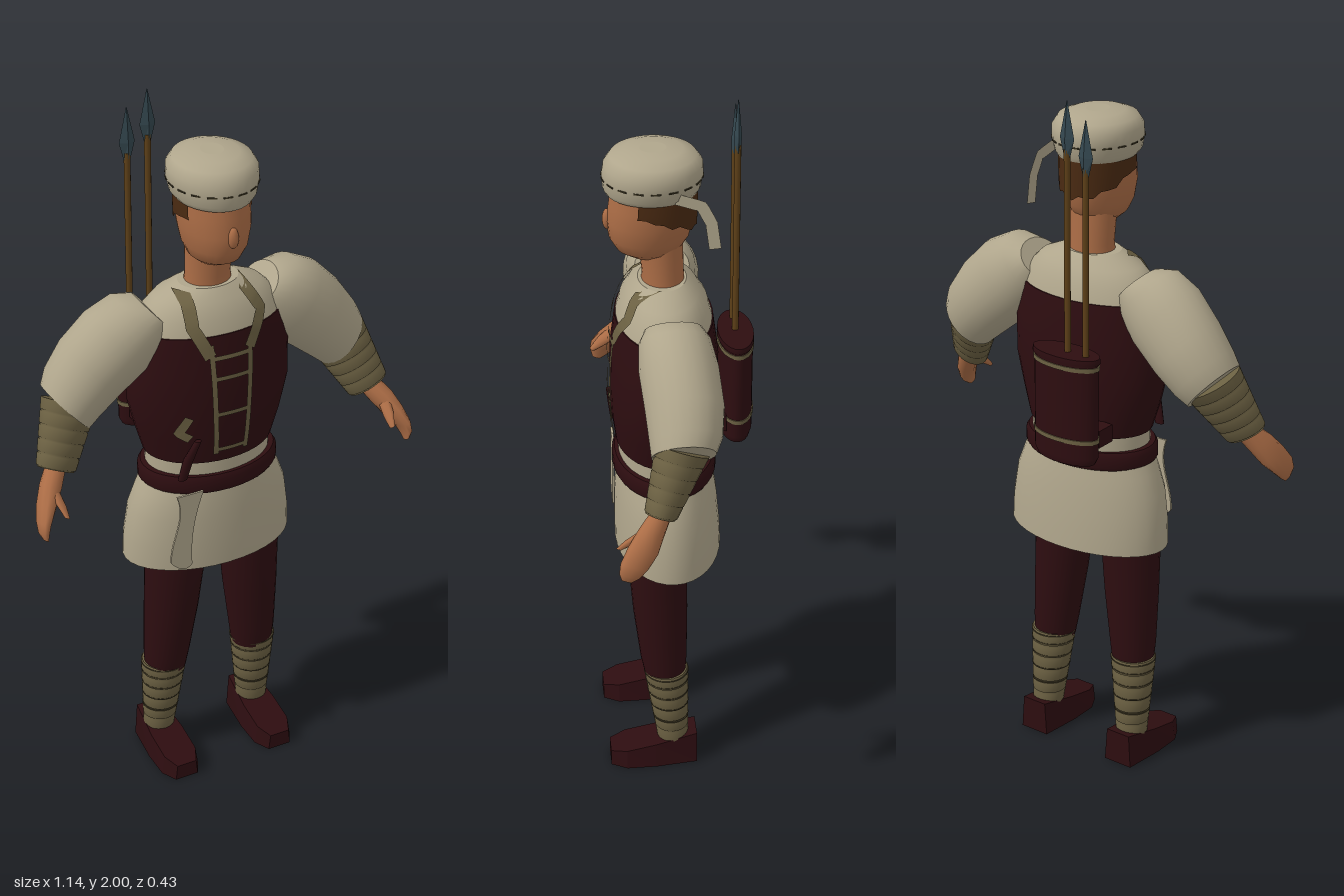
import * as THREE from 'three';

const mat = (name, color, side = THREE.FrontSide) => {
  const m = new THREE.MeshStandardMaterial({ color, side });
  m.name = name;
  return m;
};
const X = new THREE.Vector3(1, 0, 0), Z = new THREE.Vector3(0, 0, 1);

// Torso cross-sections: [x, y, z, radiusX, radiusZ]
const TORSO = [
  [0, 1.03, 0.035, 0.187, 0.135], [0, 1.11, 0.038, 0.212, 0.142], [0, 1.2, 0.038, 0.235, 0.146],
  [0, 1.31, 0.036, 0.235, 0.146], [0, 1.42, 0.036, 0.215, 0.132],
];
const SHOULDERS = [
  [0, 1.415, 0.036, 0.213, 0.13], [0, 1.46, 0.036, 0.195, 0.118],
  [0, 1.5, 0.037, 0.155, 0.095], [0, 1.53, 0.04, 0.085, 0.065],
];

// Front surface depth of the torso at a point
function torsoZ(x, y) {
  const rings = [...TORSO, ...SHOULDERS.slice(1)];
  let i = 0;
  while (i < rings.length - 2 && y > rings[i + 1][1]) i++;
  const a = rings[i], b = rings[i + 1];
  const t = THREE.MathUtils.clamp((y - a[1]) / (b[1] - a[1]), 0, 1);
  const [rx, cz, rz] = [3, 2, 4].map(k => a[k] + (b[k] - a[k]) * t);
  return cz + rz * Math.sqrt(Math.max(0, 1 - (x / rx) ** 2));
}

// Skin elliptical rings [x, y, z, ru, rv] spanned by axes u and v
function loft(rings, { seg = 24, u = X, v = Z, cap = true } = {}) {
  const list = rings.slice();
  if (cap) {
    const f = rings[0], l = rings[rings.length - 1];
    list.unshift([f[0], f[1], f[2], 0, 0], f);
    list.push(l, [l[0], l[1], l[2], 0, 0]);
  }
  const pos = [], idx = [], f = list[0], l = list[list.length - 1];
  const dir = new THREE.Vector3(l[0] - f[0], l[1] - f[1], l[2] - f[2]);
  const flip = new THREE.Vector3().crossVectors(u, v).dot(dir) > 0;
  list.forEach(([x, y, z, ru, rv], r) => {
    for (let i = 0; i < seg; i++) {
      const a = (i / seg) * Math.PI * 2, c = Math.cos(a) * ru, s = Math.sin(a) * rv;
      pos.push(x + u.x * c + v.x * s, y + u.y * c + v.y * s, z + u.z * c + v.z * s);
      if (r === list.length - 1) continue;
      const A = r * seg + i, B = r * seg + (i + 1) % seg, C = A + seg, D = B + seg;
      if (flip) idx.push(A, B, C, B, D, C);
      else idx.push(A, C, B, B, C, D);
    }
  });
  const g = new THREE.BufferGeometry();
  g.setAttribute('position', new THREE.Float32BufferAttribute(pos, 3));
  g.setIndex(idx);
  g.computeVertexNormals();
  return g;
}

// Flat strap that follows a path; depth(x, y) gives its z
function ribbon(path, width, depth) {
  const pts = [];
  for (let i = 0; i < path.length - 1; i++)
    for (let k = 0; k < 6; k++) pts.push(new THREE.Vector2(...path[i]).lerp(new THREE.Vector2(...path[i + 1]), k / 6));
  pts.push(new THREE.Vector2(...path[path.length - 1]));
  const pos = [], idx = [];
  pts.forEach((p, i) => {
    const d = pts[Math.min(i + 1, pts.length - 1)].clone().sub(pts[Math.max(i - 1, 0)]).normalize();
    for (const s of [-1, 1]) {
      const x = p.x - d.y * s * width / 2, y = p.y + d.x * s * width / 2;
      pos.push(x, y, depth(x, y));
    }
    if (i) idx.push(2 * i - 2, 2 * i, 2 * i - 1, 2 * i - 1, 2 * i, 2 * i + 1);
  });
  const g = new THREE.BufferGeometry();
  g.setAttribute('position', new THREE.Float32BufferAttribute(pos, 3));
  g.setIndex(idx);
  g.computeVertexNormals();
  return g;
}

// Overlapping turns of cloth between two rings
function wrapRings(a, b, turns) {
  const out = [], at = (t, e) => a.map((n, k) => n + (b[k] - n) * t + (k > 2 ? e : 0));
  for (let i = 0; i < turns; i++) out.push(at(i / turns, 0.003), at((i + 0.85) / turns, 0.003), at((i + 0.93) / turns, -0.003));
  out.push(at(1, 0));
  return out;
}

export function createModel() {
  const cloth = mat('cream cloth', 0xb0a68c, THREE.DoubleSide);
  const maroon = mat('dark maroon leather', 0x2d0d10);
  const skin = mat('skin', 0xac6d46);
  const olive = mat('olive wrap', 0x6b6042, THREE.DoubleSide);
  const seam = mat('dark seam', 0x3a3320);
  const wood = mat('shaft wood', 0x5e4018);
  const steel = mat('blue steel', 0x34474f);
  const hairMat = mat('brown hair', 0x4a2a12, THREE.DoubleSide);
  steel.flatShading = true;

  const model = new THREE.Group();
  const add = (name, geo, material) => {
    const m = new THREE.Mesh(geo, material);
    m.name = name;
    model.add(m);
    return m;
  };

  // Torso, vest, belt and skirt
  add('vest', loft(TORSO, { seg: 36 }), maroon);
  add('shirtShoulders', loft(SHOULDERS, { seg: 36 }), cloth);
  add('shirtWaist', loft([[0, 0.96, 0.035, 0.18, 0.128], [0, 1.04, 0.035, 0.18, 0.128]], { seg: 36 }), cloth);
  add('belt', loft([[0, 0.935, 0.037, 0.196, 0.138], [0, 0.945, 0.037, 0.203, 0.143], [0, 0.975, 0.037, 0.203, 0.143], [0, 0.988, 0.037, 0.195, 0.136]], { seg: 36 }), maroon);
  add('skirt', loft([[0, 0.69, 0.028, 0.25, 0.148], [0, 0.76, 0.03, 0.248, 0.147], [0, 0.85, 0.033, 0.235, 0.142],
    [0, 0.91, 0.035, 0.212, 0.135], [0, 0.96, 0.036, 0.19, 0.128]], { seg: 36, cap: false }), cloth);

  // Straps and ladder lacing on the chest
  const onChest = (x, y) => torsoZ(x, y) + 0.007;
  add('rightStrap', ribbon([[-0.095, 1.525], [-0.1, 1.45], [-0.06, 1.365]], 0.034, onChest), olive);
  add('leftStrap', ribbon([[0.07, 1.525], [0.105, 1.46], [0.055, 1.37]], 0.034, onChest), olive);
  for (const s of [-1, 1]) add('lacingRail', ribbon([[s * 0.058, 1.4], [s * 0.044, 1.06]], 0.015, onChest), olive);
  for (const y of [1.36, 1.3, 1.19, 1.075]) add('lacingRung', ribbon([[-0.05, y], [0.05, y]], 0.013, onChest), olive);
  add('beltTag', ribbon([[-0.12, 1.19], [-0.145, 1.14], [-0.115, 1.12]], 0.025, onChest), olive);
  add('daggerSheath', loft([[-0.14, 1.0, 0.165, 0.014, 0.01], [-0.125, 1.06, 0.17, 0.016, 0.012], [-0.1, 1.12, 0.18, 0.01, 0.008]], { seg: 8 }), maroon);

  // Hanging sash end
  const sash = new THREE.Shape();
  sash.moveTo(-0.16, 0.95);
  sash.bezierCurveTo(-0.13, 0.87, -0.18, 0.82, -0.18, 0.74);
  sash.quadraticCurveTo(-0.14, 0.69, -0.115, 0.72);
  sash.bezierCurveTo(-0.12, 0.8, -0.11, 0.87, -0.08, 0.95);
  add('sash', new THREE.ExtrudeGeometry(sash, { depth: 0.006, bevelEnabled: false }), cloth).position.z = 0.168;

  // Neck, head and face
  add('neck', loft([[0, 1.49, 0.038, 0.07, 0.06], [0, 1.55, 0.038, 0.062, 0.056], [0, 1.66, 0.045, 0.066, 0.06]]), skin);
  add('head', loft([[0, 1.605, 0.075, 0.045, 0.05], [0, 1.625, 0.075, 0.068, 0.085], [0, 1.66, 0.074, 0.084, 0.106],
    [0, 1.71, 0.072, 0.094, 0.114], [0, 1.76, 0.066, 0.096, 0.113], [0, 1.82, 0.064, 0.094, 0.108]]), skin);
  const nose = add('nose', new THREE.SphereGeometry(1, 10, 8), skin);
  nose.position.set(0, 1.71, 0.183);
  nose.scale.set(0.015, 0.03, 0.014);

  // Hair shell: hugs the head, deeper at the nape than at the temples
  const hair = loft([[0, 1.69, 0.066, 0.099, 0.119], [0, 1.76, 0.064, 0.1, 0.119], [0, 1.81, 0.062, 0.1, 0.118]], { seg: 32, cap: false });
  const hp = hair.attributes.position;
  for (let i = 0; i < 32; i++) hp.setY(i, THREE.MathUtils.clamp(1.7 + (hp.getZ(i) + 0.02) * 0.45 + (i % 3) * 0.006, 1.68, 1.75));
  const kept = [];
  const hi = hair.index.array;
  for (let i = 0; i < hi.length; i += 3)
    if ([0, 1, 2].every(k => hp.getZ(hi[i + k]) < 0.125)) kept.push(hi[i], hi[i + 1], hi[i + 2]);
  hair.setIndex(kept);
  hair.computeVertexNormals();
  add('hair', hair, hairMat);

  // Cap with stitched band and a loose tail
  add('cap', loft([[0, 1.79, 0.066, 0.1, 0.12], [0, 1.805, 0.066, 0.112, 0.128], [0, 1.84, 0.064, 0.119, 0.133],
    [0, 1.87, 0.062, 0.119, 0.13], [0, 1.895, 0.062, 0.104, 0.113], [0, 1.908, 0.062, 0.07, 0.078], [0, 1.912, 0.062, 0.03, 0.035]], { seg: 32 }), cloth);
  for (let i = 0; i < 18; i++) {
    const a = (i / 18) * Math.PI * 2;
    const dash = add('capStitch', new THREE.BoxGeometry(0.004, 0.004, 0.026), seam);
    dash.position.set(Math.cos(a) * 0.118, 1.836, 0.064 + Math.sin(a) * 0.132);
    dash.rotation.y = -a;
  }
  const tail = ribbon([[-0.02, 1.81], [0.045, 1.79], [0.07, 1.74], [0.08, 1.665]], 0.032, () => 0);
  tail.rotateY(Math.PI / 2 - 0.1);
  add('capTail', tail, cloth).position.set(0.1, 0, -0.01);

  // Arms, legs and shoes, mirrored
  for (const s of [-1, 1]) {
    const side = s > 0 ? 'left' : 'right';
    const across = new THREE.Vector3(s * 0.66, 0.75, 0);
    const sleeve = [[0.165, 1.465, 0.025, 0.06, 0.075], [0.2, 1.445, 0.025, 0.1, 0.095], [0.26, 1.395, 0.02, 0.118, 0.105],
      [0.335, 1.325, 0.012, 0.112, 0.104], [0.39, 1.265, 0.014, 0.1, 0.096], [0.415, 1.232, 0.022, 0.09, 0.085]];
    const flipX = rings => rings.map(([x, ...rest]) => [s * x, ...rest]);
    add(side + 'Sleeve', loft(flipX(sleeve), { u: across }), cloth);
    const wristU = new THREE.Vector3(s * 0.9, 0.43, 0), wristV = new THREE.Vector3(0, 0.35, 0.93);
    add(side + 'ForearmWrap', loft(flipX(wrapRings([0.405, 1.245, 0.025, 0.08, 0.072], [0.478, 1.09, 0.09, 0.057, 0.042], 5)), { u: wristU, v: wristV }), olive);

    // Hand: palm, finger block and thumb
    const hand = [[0.475, 1.1, 0.085, 0.03, 0.028], [0.505, 1.06, 0.115, 0.032, 0.036], [0.53, 1.02, 0.14, 0.026, 0.042],
      [0.55, 0.985, 0.165, 0.018, 0.038], [0.556, 0.96, 0.178, 0.013, 0.028], [0.553, 0.942, 0.185, 0.006, 0.014]];
    add(side + 'Hand', loft(flipX(hand), { seg: 12, u: wristU, v: wristV }), skin);
    const thumb = [[0.505, 1.06, 0.13, 0.018, 0.018], [0.5, 1.03, 0.17, 0.016, 0.015], [0.496, 1.005, 0.2, 0.008, 0.008]];
    add(side + 'Thumb', loft(flipX(thumb), { seg: 8, u: wristU, v: wristV }), skin);

    // Leg, shin wrap and seams
    add(side + 'Leg', loft(flipX([[0.14, 0.3, 0.048, 0.06, 0.058], [0.137, 0.36, 0.052, 0.066, 0.066], [0.125, 0.52, 0.06, 0.078, 0.077],
      [0.114, 0.7, 0.067, 0.088, 0.083], [0.11, 0.85, 0.06, 0.09, 0.083]])), maroon);
    const low = [0.152, 0.08, 0.028, 0.042, 0.042], high = [0.143, 0.32, 0.046, 0.063, 0.061];
    add(side + 'ShinWrap', loft(flipX(wrapRings(low, high, 6))), olive);
    for (const t of [0.3, 0.5, 0.68, 0.85, 0.96]) {
      const c = low.map((n, k) => n + (high[k] - n) * t);
      const ring = [0, 0.004].map(dy => [c[0], c[1] + dy, c[2], c[3] + 0.004, c[4] + 0.004]);
      add(side + 'ShinSeam', loft(flipX(ring)), seam);
    }

    // Low-sided shoe sloping down to the toe
    const sole = new THREE.Shape([[-0.045, -0.04], [0.045, -0.04], [0.058, 0.08], [0.058, 0.165], [0.035, 0.21],
      [-0.035, 0.21], [-0.058, 0.165], [-0.058, 0.08]].map(p => new THREE.Vector2(...p)));
    const shoe = new THREE.ExtrudeGeometry(sole, { depth: 0.1, bevelEnabled: false });
    shoe.rotateX(Math.PI / 2).translate(0, 0.1, 0);
    const p = shoe.attributes.position;
    for (let i = 0; i < p.count; i++) if (p.getY(i) > 0.05) {
      p.setY(i, 0.1 - (p.getZ(i) + 0.04) * 0.21);
      p.setX(i, p.getX(i) * 0.85);
    }
    shoe.computeVertexNormals();
    add(side + 'Shoe', shoe, maroon).position.x = s * 0.152;
  }

  // Quiver with bands and two spears
  const qx = -0.068, qz = -0.167;
  add('quiver', loft([[qx, 1.0, qz, 0.092, 0.042], [qx, 1.02, qz, 0.102, 0.047], [qx, 1.29, qz, 0.102, 0.047],
    [qx, 1.295, qz, 0.108, 0.05], [qx, 1.31, qz, 0.106, 0.049]]), maroon);
  for (const y of [1.065, 1.275]) add('quiverBand', loft([[qx, y, qz, 0.105, 0.05], [qx, y + 0.012, qz, 0.105, 0.05]]), olive);
  add('quiverMount', new THREE.BoxGeometry(0.17, 0.05, 0.06), maroon).position.set(qx, 1.06, -0.105);
  for (const [x, tip] of [[-0.132, 1.96], [-0.072, 2.0]]) {
    const bottom = 1.1, top = tip - 0.13;
    add('spearShaft', new THREE.CylinderGeometry(0.009, 0.009, top - bottom, 10), wood).position.set(x, (top + bottom) / 2, qz);
    add('spearHead', loft([[x, tip - 0.15, qz, 0.01, 0.009], [x, tip - 0.1, qz, 0.023, 0.01], [x, tip, qz, 0.001, 0.001]], { seg: 4 }), steel);
  }
  return model;
}
